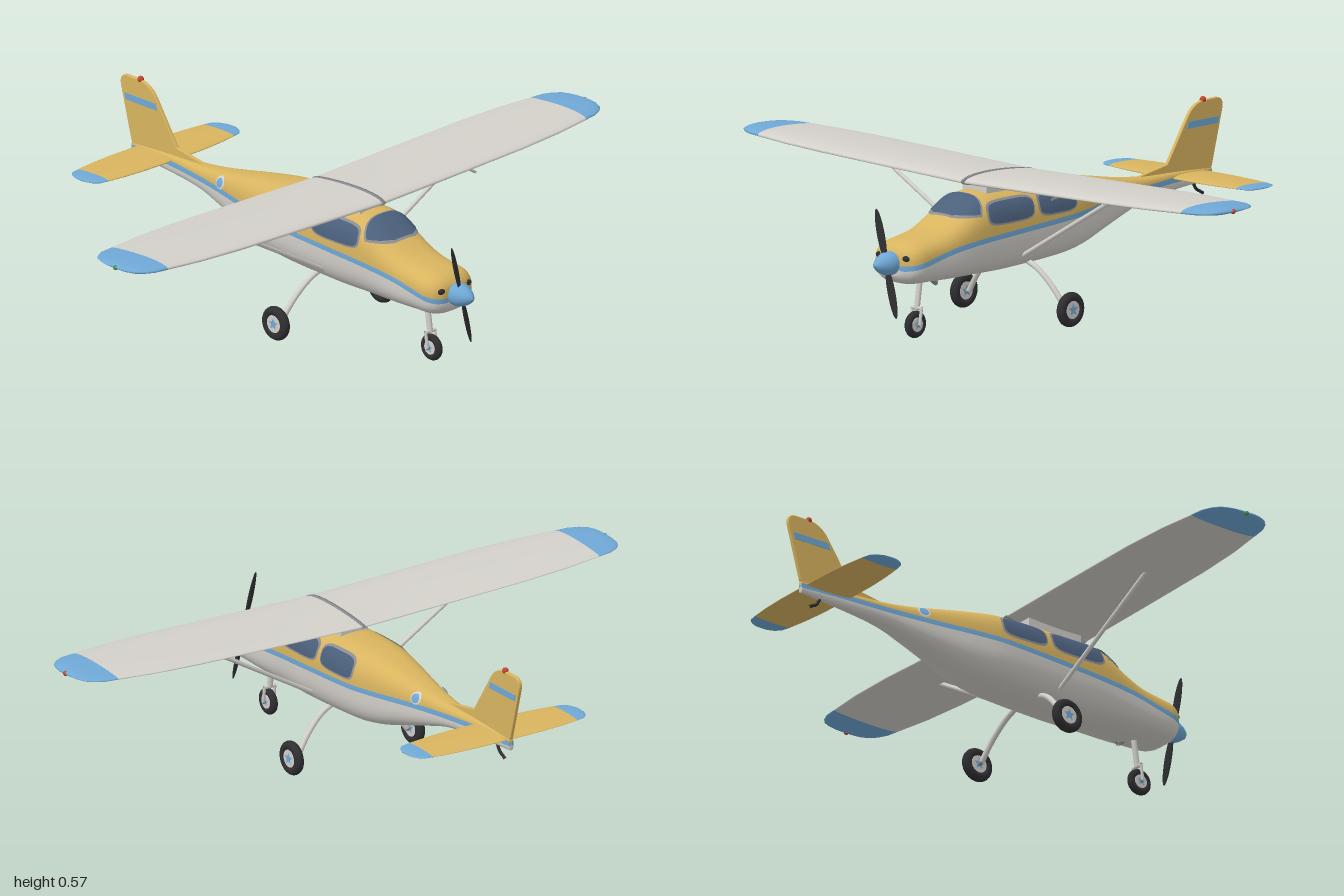
import * as THREE from 'three';

const M = {};
const paint = (name, hex) => { M[name] = new THREE.MeshStandardMaterial({ color: hex }); M[name].name = name; };
paint('mustard', 0xd8b45f);
paint('white', 0xd3d0ca);
paint('skyBlue', 0x6fa8d6);
paint('glass', 0x4b607c);
paint('trimGrey', 0x8b8d90);
paint('black', 0x2f2f32);
paint('red', 0xc8452f);
paint('green', 0x3f9a55);
M.glass.side = M.trimGrey.side = M.skyBlue.side = M.white.side = THREE.DoubleSide;

export function createModel() {
  const root = new THREE.Group();
  root.name = 'airplane';
  const add = (name, geo, mat, pos = [0, 0, 0], parent = root) => {
    const m = new THREE.Mesh(geo, mat);
    m.name = name;
    m.position.set(...pos);
    parent.add(m);
    return m;
  };
  const V = (p) => new THREE.Vector3(...p);
  const rod = (name, a, b, r, mat, parent) => add(name,
    new THREE.TubeGeometry(new THREE.LineCurve3(V(a), V(b)), 1, r, 10), mat, [0, 0, 0], parent);

  // Closed, capped skin through equal rings; pick(i, j) chooses the material of each quad
  const loft = (name, rings, mats, pick) => {
    const n = rings[0].length, last = rings.length - 1, pos = rings.flat(2);
    const lists = mats.map(() => []);
    for (let i = 0; i < last; i++) for (let j = 0; j < n; j++) {
      const k = (j + 1) % n, a = i * n + j, b = i * n + k;
      lists[pick(i, j)].push(a, a + n, b, b, a + n, b + n);
    }
    [0, last].forEach((i, end) => {
      const c = pos.length / 3;
      for (let d = 0; d < 3; d++) pos.push(rings[i].reduce((s, p) => s + p[d], 0) / n);
      for (let j = 0; j < n; j++) {
        const a = i * n + j, b = i * n + (j + 1) % n;
        lists[pick(end ? last - 1 : 0, j)].push(c, end ? b : a, end ? a : b);
      }
    });
    const g = new THREE.BufferGeometry();
    g.setAttribute('position', new THREE.Float32BufferAttribute(pos, 3));
    g.setIndex(lists.flat());
    let start = 0;
    lists.forEach((l, i) => { g.addGroup(start, l.length, i); start += l.length; });
    g.computeVertexNormals();
    return add(name, g, mats);
  };

  // Open surface from a grid of points
  const sheet = (name, nu, nv, fn, mat) => {
    const pos = [], idx = [];
    for (let i = 0; i <= nu; i++) for (let j = 0; j <= nv; j++) {
      pos.push(...fn(i / nu, j / nv));
      if (i < nu && j < nv) {
        const a = i * (nv + 1) + j, b = a + nv + 1;
        idx.push(a, b, a + 1, a + 1, b, b + 1);
      }
    }
    const g = new THREE.BufferGeometry();
    g.setAttribute('position', new THREE.Float32BufferAttribute(pos, 3));
    g.setIndex(idx);
    g.computeVertexNormals();
    return add(name, g, mat);
  };

  // Fuselage stations: z, bottom, top, half width, stripe height
  const S = [
    [0.7, 0.178, 0.305, 0.095, 0.232], [0.6, 0.176, 0.318, 0.097, 0.253], [0.53, 0.173, 0.332, 0.1, 0.268],
    [0.47, 0.171, 0.36, 0.103, 0.277], [0.37, 0.169, 0.414, 0.106, 0.286], [0.25, 0.168, 0.419, 0.108, 0.293],
    [0, 0.18, 0.417, 0.107, 0.306], [-0.1, 0.196, 0.405, 0.092, 0.311], [-0.2, 0.225, 0.388, 0.07, 0.316],
    [-0.3, 0.255, 0.37, 0.05, 0.321], [-0.4, 0.282, 0.358, 0.034, 0.325], [-0.55, 0.297, 0.352, 0.018, 0.33],
    [-0.71, 0.307, 0.345, 0.008, 0.329]];
  const E = 2.8;
  const slope = (i, c) => {
    const a = S[Math.max(i - 1, 0)], b = S[Math.min(i + 1, S.length - 1)];
    return (b[c] - a[c]) / (b[0] - a[0]);
  };
  const section = (z) => {
    let i = 0;
    while (i < S.length - 2 && z < S[i + 1][0]) i++;
    const d = S[i + 1][0] - S[i][0], t = (z - S[i][0]) / d;
    const at = (c) => S[i][c] * (1 + 2 * t) * (1 - t) ** 2 + slope(i, c) * d * t * (1 - t) ** 2
      + S[i + 1][c] * t * t * (3 - 2 * t) + slope(i + 1, c) * d * t * t * (t - 1);
    const u = Math.max(0, (z - 0.62) / 0.075), k = Math.cbrt(1 - u ** 3);
    return { cy: (at(1) + at(2)) / 2, h: k * (at(2) - at(1)) / 2, w: k * at(3), stripe: at(4) };
  };
  const pw = (v, e) => Math.sign(v) * Math.abs(v) ** e;
  const onHull = (z, a, off = 0) => {
    const s = section(z);
    return [(s.w + off) * pw(Math.cos(a), 2 / E), s.cy + (s.h + off) * pw(Math.sin(a), 2 / E), z];
  };
  const angleAt = (z, y) => {
    const s = section(z), v = THREE.MathUtils.clamp((y - s.cy) / s.h, -0.98, 0.98);
    return Math.asin(pw(v, E / 2));
  };
  const zs = [0.692, 0.688, 0.68, 0.67, 0.655, 0.64];
  for (let z = 0.62; z > -0.711; z -= 0.019) zs.push(z);
  zs.push(-0.712);
  const N = 24;
  loft('fuselage', zs.map((z) => {
    const s = section(z), hi = angleAt(z, s.stripe + 0.008), lo = angleAt(z, s.stripe - 0.008), ring = [];
    for (let j = 0; j <= N; j++) ring.push(onHull(z, hi + (Math.PI - 2 * hi) * j / N));
    for (let j = 0; j <= N; j++) ring.push(onHull(z, Math.PI - lo + (Math.PI + 2 * lo) * j / N));
    return ring;
  }), [M.mustard, M.skyBlue, M.white], (i, j) => (j < N ? 0 : j === N || j === 2 * N + 1 ? 1 : 2));

  // Windscreen wrapped over the sloping cabin front
  const screen = (name, y, zf, zb, off, mat) => sheet(name, 12, 32, (u, v) => {
    const z = zf + (zb + 0.028 * (2 * v - 1) ** 2 - zf) * u, a = angleAt(z, y);
    return onHull(z, a + (Math.PI - 2 * a) * v, off);
  }, mat);
  screen('windscreenFrame', 0.357, 0.471, 0.366, 0.003, M.trimGrey);
  screen('windscreen', 0.363, 0.464, 0.372, 0.005, M.glass);

  // Rounded panels that follow the hull side
  const panel = (name, side, z0, y0, rz, ry, e, lean, off, mat) => sheet(name, 6, 40, (u, v) => {
    const t = v * Math.PI * 2, dy = u * ry * pw(Math.sin(t), 2 / e);
    const z = z0 + u * rz * pw(Math.cos(t), 2 / e) - lean * dy, y = y0 + dy;
    return [side * (onHull(z, angleAt(z, y))[0] + off), y, z];
  }, mat);

  // Wing and tailplane sections: x, leading z, trailing z, half thickness
  const aerofoil = (name, half, y0, rise, tip, base) => {
    const all = [...half.slice(1).reverse().map(([x, ...r]) => [-x, ...r]), ...half];
    const rings = all.map(([x, f, b, th]) => Array.from({ length: 28 }, (_, j) => {
      const t = j / 28 * Math.PI * 2, c = Math.cos(t), s = Math.sin(t);
      return [x, y0 + rise * Math.abs(x) + th * s * (1 + 0.35 * c) * (s > 0 ? 1 : 0.7), (f + b) / 2 + (f - b) / 2 * c];
    }));
    return loft(name, rings, [base, M.skyBlue],
      (i) => (Math.min(Math.abs(all[i][0]), Math.abs(all[i + 1][0])) >= tip ? 1 : 0));
  };
  aerofoil('wing', [[0, 0.376, 0.073, 0.018], [0.3, 0.376, 0.073, 0.017], [0.6, 0.374, 0.074, 0.016],
    [0.76, 0.365, 0.083, 0.015], [0.885, 0.348, 0.1, 0.014], [0.93, 0.342, 0.106, 0.013], [0.96, 0.328, 0.12, 0.012],
    [0.98, 0.31, 0.138, 0.01], [0.99, 0.29, 0.16, 0.007], [0.996, 0.265, 0.185, 0.003]], 0.45, 0.025, 0.885, M.white);
  aerofoil('wingCentreSeam', [[0, 0.379, 0.07, 0.0205], [0.006, 0.379, 0.07, 0.0205]], 0.45, 0, 9, M.trimGrey);
  aerofoil('tailplane', [[0, -0.53, -0.696, 0.008], [0.12, -0.531, -0.695, 0.008], [0.2, -0.537, -0.69, 0.007],
    [0.265, -0.546, -0.682, 0.006], [0.295, -0.553, -0.675, 0.006], [0.31, -0.568, -0.66, 0.005],
    [0.32, -0.59, -0.638, 0.002]], 0.335, 0, 0.265, M.mustard);
  add('wingMount', new THREE.BoxGeometry(0.1, 0.05, 0.2), M.white, [0, 0.422, 0.225]);

  // Flat parts drawn in the z-y plane, centred on x = 0
  const plate = (name, shape, depth, bevel, mat) => {
    const g = new THREE.ExtrudeGeometry(shape, { depth, bevelEnabled: bevel > 0, bevelSize: bevel, bevelThickness: bevel, bevelSegments: 3, curveSegments: 8 });
    return add(name, g.translate(0, 0, -depth / 2).rotateY(-Math.PI / 2), mat);
  };
  const fin = new THREE.Shape();
  fin.moveTo(-0.38, 0.355);
  fin.lineTo(-0.52, 0.377);
  fin.lineTo(-0.612, 0.515);
  fin.quadraticCurveTo(-0.635, 0.548, -0.675, 0.553);
  fin.lineTo(-0.735, 0.554);
  fin.quadraticCurveTo(-0.765, 0.552, -0.758, 0.52);
  fin.lineTo(-0.712, 0.35);
  fin.lineTo(-0.7, 0.33);
  fin.lineTo(-0.5, 0.335);
  plate('tailFin', fin, 0.006, 0.003, M.mustard);
  const band = new THREE.Shape([[-0.602, 0.477], [-0.738, 0.477], [-0.743, 0.498], [-0.61, 0.498]].map((p) => new THREE.Vector2(...p)));
  plate('finStripe', band, 0.015, 0, M.skyBlue);
  add('tailBeacon', new THREE.SphereGeometry(0.01, 16, 12), M.red, [0, 0.557, -0.68]);
  const skid = new THREE.CatmullRomCurve3([[0, 0.31, -0.635], [0, 0.285, -0.65], [0, 0.275, -0.668], [0, 0.268, -0.68]].map(V));
  add('tailSkid', new THREE.TubeGeometry(skid, 12, 0.005, 8), M.black);

  // Spinner, propeller and cowling
  const spin = [[0.036, 0], [0.037, 0.012], [0.034, 0.03], [0.025, 0.05], [0.013, 0.066], [0, 0.073]];
  add('spinner', new THREE.LatheGeometry(spin.map((p) => new THREE.Vector2(...p)), 32).rotateX(Math.PI / 2), M.skyBlue, [0, 0.247, 0.691]);
  const prop = new THREE.Group();
  prop.name = 'propeller';
  prop.position.set(0, 0.247, 0.713);
  prop.rotation.z = 0.25;
  root.add(prop);
  for (const d of [0, Math.PI]) {
    const blade = add('propellerBlade', new THREE.SphereGeometry(1, 20, 16), M.black, [-Math.sin(d) * 0.09, Math.cos(d) * 0.09, 0], prop);
    blade.scale.set(0.013, 0.08, 0.004);
    blade.rotation.set(0, 0.35, d);
  }
  rod('exhaustPipe', [0.03, 0.19, 0.56], [0.03, 0.165, 0.525], 0.008, M.trimGrey);

  // Wheel with hub and star cap
  const star = new THREE.Shape(Array.from({ length: 10 }, (_, i) => {
    const r = i % 2 ? 0.35 : 0.75, a = i * Math.PI / 5 + Math.PI / 2;
    return new THREE.Vector2(r * Math.cos(a), r * Math.sin(a));
  }));
  const wheel = (name, x, y, z, r) => {
    const g = new THREE.Group();
    g.name = name;
    g.position.set(x, y, z);
    root.add(g);
    add('tyre', new THREE.TorusGeometry(r * 0.72, r * 0.28, 16, 40).rotateY(Math.PI / 2), M.black, [0, 0, 0], g);
    add('hub', new THREE.CylinderGeometry(r * 0.52, r * 0.52, 0.022, 28).rotateZ(Math.PI / 2), M.white, [0, 0, 0], g);
    for (const s of [1, -1]) add('hubStar', new THREE.ShapeGeometry(star).scale(r * 0.5, r * 0.5, 1).rotateY(s * Math.PI / 2), M.skyBlue, [s * 0.0125, 0, 0], g);
  };
  wheel('noseWheel', 0, 0.042, 0.585, 0.042);
  rod('noseLeg', [0, 0.09, 0.578], [0, 0.19, 0.563], 0.009, M.white);
  rod('noseForkBridge', [-0.021, 0.092, 0.578], [0.021, 0.092, 0.578], 0.006, M.white);
  rod('noseAxle', [-0.022, 0.042, 0.585], [0.022, 0.042, 0.585], 0.005, M.trimGrey);

  // Mirrored parts
  for (const s of [1, -1]) {
    panel('frontWindowFrame', s, 0.271, 0.363, 0.102, 0.038, 4, 0.1, 0.003, M.trimGrey);
    panel('frontWindow', s, 0.271, 0.363, 0.096, 0.032, 4, 0.1, 0.005, M.glass);
    panel('rearWindowFrame', s, 0.068, 0.363, 0.086, 0.038, 4, 0, 0.003, M.trimGrey);
    panel('rearWindow', s, 0.068, 0.363, 0.08, 0.032, 4, 0, 0.005, M.glass);
    panel('portholeRim', s, -0.28, 0.347, 0.021, 0.019, 2, 0, 0.005, M.white);
    panel('porthole', s, -0.28, 0.347, 0.015, 0.014, 2, 0, 0.007, M.skyBlue);
    add('airIntake', new THREE.SphereGeometry(0.012, 16, 12).scale(1.2, 0.8, 0.7), M.black, [s * 0.055, 0.265, 0.684]);
    rod('noseFork', [s * 0.019, 0.042, 0.585], [s * 0.019, 0.092, 0.578], 0.005, M.white);
    rod('wingStrut', [s * 0.095, 0.215, 0.21], [s * 0.51, 0.456, 0.22], 0.007, M.white);
    const leg = new THREE.CatmullRomCurve3([[s * 0.04, 0.195, 0.158], [s * 0.1, 0.168, 0.154], [s * 0.155, 0.118, 0.146], [s * 0.2, 0.056, 0.137]].map(V));
    add('mainLeg', new THREE.TubeGeometry(leg, 20, 0.009, 10), M.white);
    rod('mainAxle', [s * 0.195, 0.054, 0.137], [s * 0.225, 0.054, 0.137], 0.007, M.trimGrey);
    wheel('mainWheel', s * 0.223, 0.054, 0.137, 0.054);
    add('wingtipLight', new THREE.SphereGeometry(0.008, 14, 10), s > 0 ? M.red : M.green, [s * 0.992, 0.474, 0.23]);
  }
  rod('airspeedProbe', [0.38, 0.452, 0.35], [0.38, 0.45, 0.385], 0.004, M.trimGrey);
  return root;
}
